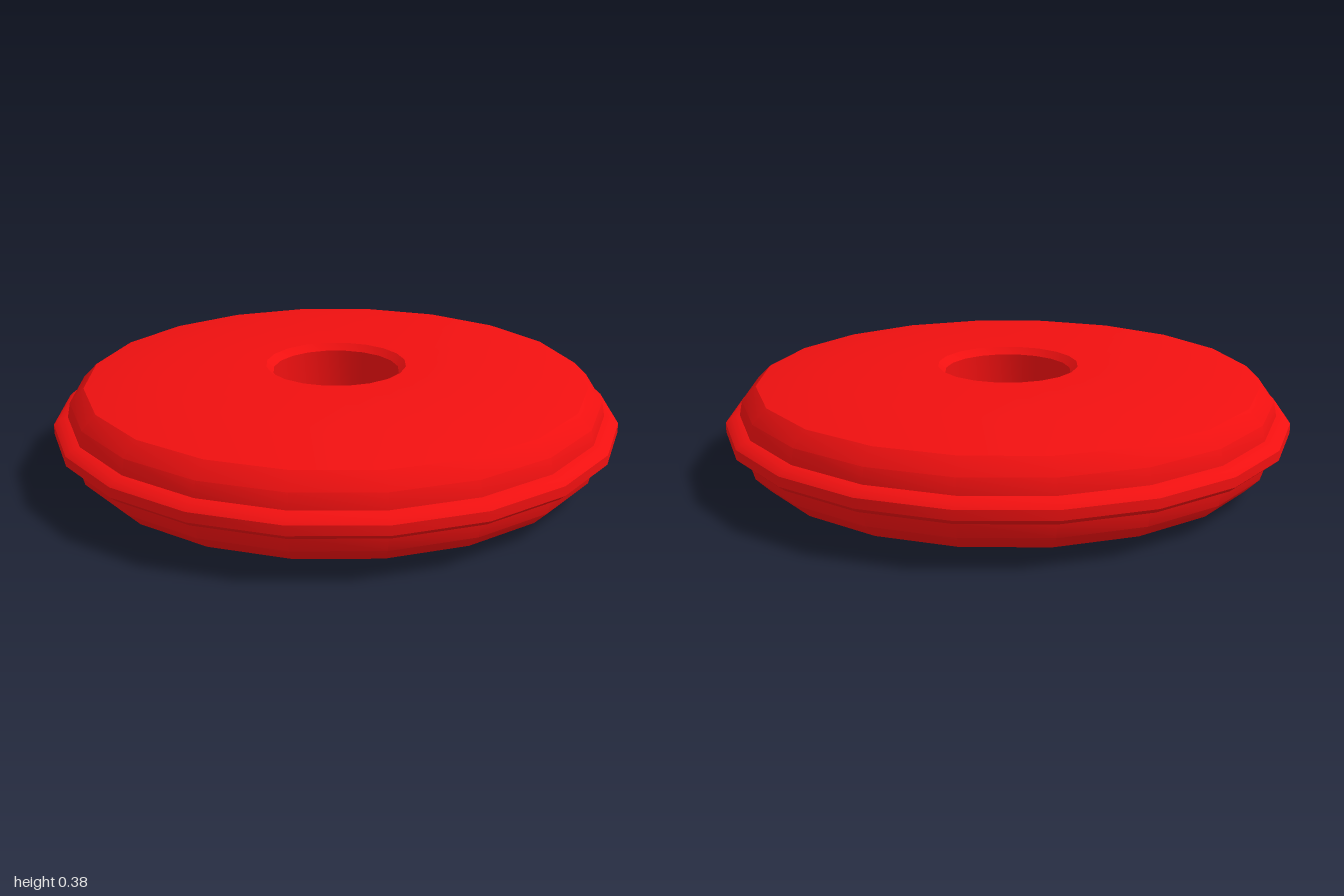
import * as THREE from 'three';
import { toCreasedNormals } from 'three/addons/utils/BufferGeometryUtils.js';

const SIDES = 20;
const MID = 0.19; // half the thickness

export function createModel() {
  const group = new THREE.Group();
  group.name = 'ringDisc';

  // Upper half of the cross-section as [radius, height above the middle],
  // from the raised rim over the top and into the hole
  const upper = [
    [1.0, 0.017], [0.98, 0.035], [0.95, 0.042], // rim bead
    [0.94, 0.095], [0.89, 0.145], [0.64, 0.19], // rounded shoulder
    [0.25, 0.19], [0.225, 0.167],               // flat face, hole chamfer
  ];
  const lower = upper.map(([r, h]) => [r, -h]).reverse();
  const loop = [...lower, ...upper, lower[0]];
  const profile = loop.map(([r, h]) => new THREE.Vector2(r, MID + h));

  // Smooth around the disc, sharp at the rim and hole edges
  const geometry = toCreasedNormals(
    new THREE.LatheGeometry(profile, SIDES),
    THREE.MathUtils.degToRad(35),
  );
  const disc = new THREE.Mesh(geometry, new THREE.MeshStandardMaterial({ color: 0xf01010 }));
  disc.name = 'disc';
  group.add(disc);
  return group;
}
